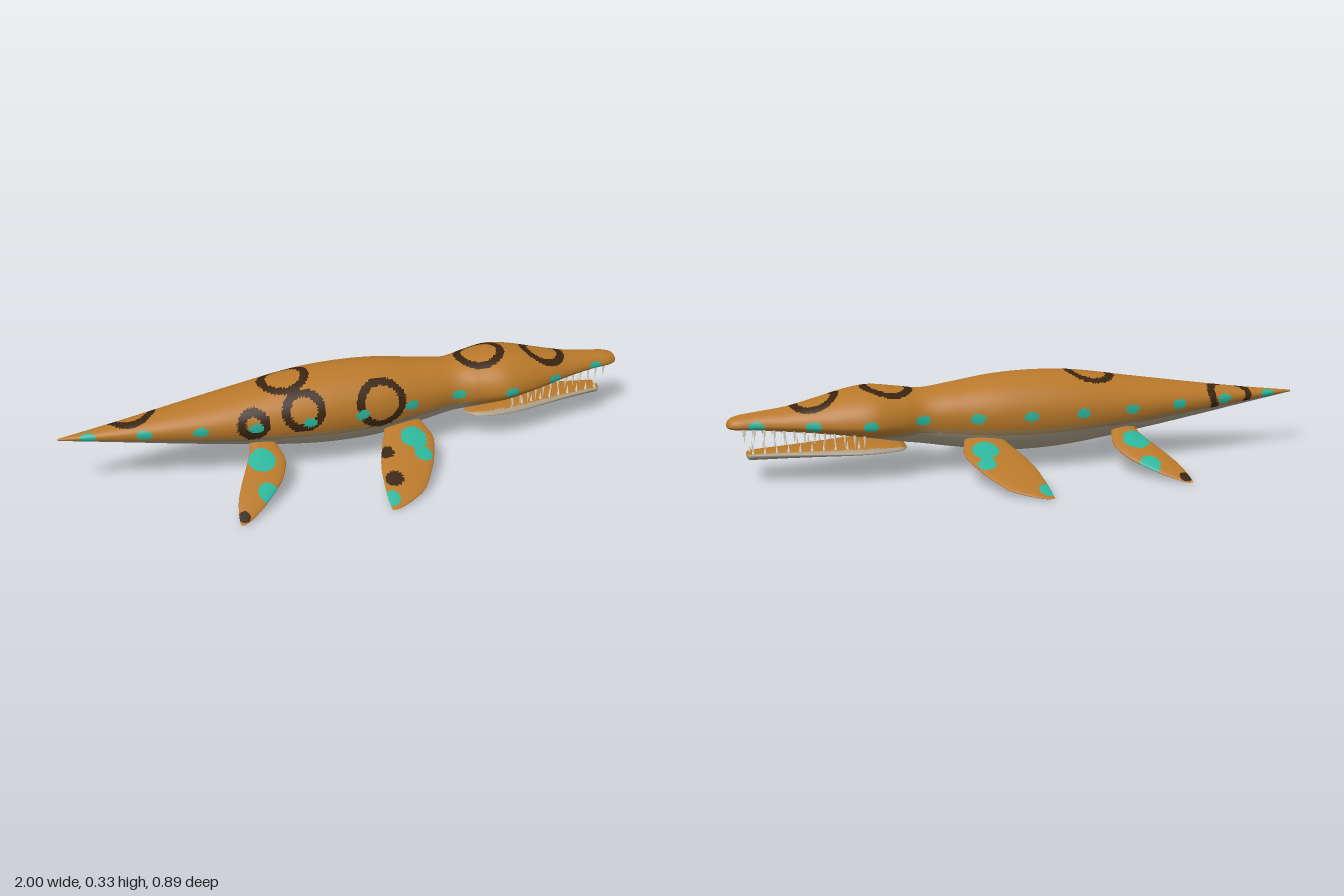
import * as THREE from 'three';
import { ParametricGeometry } from 'three/addons/geometries/ParametricGeometry.js';

const COLORS = {
  hide: 0xb8782a, flank: 0xa08455, belly: 0xa99d88, ring: 0x3a2410,
  teal: 0x2cb59b, tooth: 0xe6dfcc,
};
const materials = {};
for (const [key, color] of Object.entries(COLORS)) {
  materials[key] = new THREE.MeshStandardMaterial({ color });
}

// Smooth interpolation through table rows, t in 0..1
function spline(rows, t) {
  const n = rows.length - 1;
  const i = Math.min(Math.floor(t * n), n - 1);
  const f = t * n - i;
  const [a, b, c, d] = [i - 1, i, i + 1, i + 2].map((k) => rows[Math.max(0, Math.min(n, k))]);
  return b.map((p, k) => p + 0.5 * f * (c[k] - a[k]
    + f * (2 * a[k] - 5 * p + 4 * c[k] - d[k] + f * (3 * (p - c[k]) + d[k] - a[k]))));
}

// Linear lookup of a row by its first column
function rowAt(rows, x) {
  let i = 0;
  while (i < rows.length - 2 && rows[i + 1][0] < x) i++;
  const f = (x - rows[i][0]) / (rows[i + 1][0] - rows[i][0]);
  return rows[i].map((p, k) => p + (rows[i + 1][k] - p) * f);
}

// Loft along x; rows are [x, top, bottom, halfWidth], widest at height mid
function loftX(rows, mid, around, along) {
  return new ParametricGeometry((u, v, out) => {
    const [x, top, bottom, half] = spline(rows, v);
    const s = Math.sin(-2 * Math.PI * u), c = Math.cos(2 * Math.PI * u);
    out.set(x, mid + s * (s > 0 ? top - mid : mid - bottom), half * c);
  }, around, along);
}

// Split a skin into one mesh per colour, chosen at each face's centre
function paint(name, geometry, rule) {
  const group = new THREE.Group();
  group.name = name;
  const pos = geometry.attributes.position, index = geometry.index;
  const faces = {};
  const center = new THREE.Vector3(), p = new THREE.Vector3();
  for (let i = 0; i < index.count; i += 3) {
    const tri = [0, 1, 2].map((k) => index.getX(i + k));
    center.set(0, 0, 0);
    tri.forEach((k) => center.add(p.fromBufferAttribute(pos, k)));
    (faces[rule(center.divideScalar(3))] ??= []).push(...tri);
  }
  for (const [key, list] of Object.entries(faces)) {
    const part = new THREE.BufferGeometry();
    part.setAttribute('position', pos);
    part.setAttribute('normal', geometry.attributes.normal);
    part.setIndex(list);
    const mesh = new THREE.Mesh(part, materials[key]);
    mesh.name = `${name} ${key}`;
    group.add(mesh);
  }
  return group;
}

const BODY = [
  [-1, 0.203, 0.197, 0.003], [-0.8, 0.227, 0.165, 0.045], [-0.6, 0.256, 0.132, 0.086],
  [-0.4, 0.287, 0.1, 0.12], [-0.2, 0.319, 0.07, 0.141], [-0.05, 0.328, 0.058, 0.146],
  [0.1, 0.322, 0.061, 0.14], [0.25, 0.301, 0.083, 0.116], [0.35, 0.289, 0.1, 0.102],
  [0.43, 0.298, 0.114, 0.124], [0.52, 0.308, 0.134, 0.148], [0.6, 0.299, 0.148, 0.138],
  [0.7, 0.274, 0.161, 0.108], [0.8, 0.251, 0.171, 0.073], [0.9, 0.239, 0.18, 0.049],
  [0.96, 0.231, 0.184, 0.042], [0.99, 0.22, 0.189, 0.028], [1, 0.204, 0.197, 0.003],
];
const JAW = [
  [0.41, 0.104, 0.098, 0.06], [0.44, 0.119, 0.094, 0.096], [0.52, 0.125, 0.091, 0.11],
  [0.6, 0.123, 0.087, 0.104], [0.7, 0.118, 0.083, 0.081], [0.8, 0.114, 0.081, 0.059],
  [0.9, 0.11, 0.08, 0.041], [0.93, 0.108, 0.081, 0.034], [0.94, 0.101, 0.098, 0.004],
];

// Fin rows: [z, trailing x, leading x, thickness]
const FRONT_FIN = [
  [0.07, 0.1, 0.215, 0.03], [0.13, 0.08, 0.232, 0.03], [0.185, 0.055, 0.24, 0.03],
  [0.265, 0.025, 0.212, 0.027], [0.34, 0.012, 0.17, 0.022], [0.39, 0.006, 0.13, 0.016],
  [0.43, 0.004, 0.06, 0.008], [0.444, 0.005, 0.018, 0.002],
];
const REAR_FIN = [
  [0.07, -0.38, -0.3, 0.03], [0.12, -0.388, -0.288, 0.03], [0.175, -0.415, -0.28, 0.028],
  [0.24, -0.448, -0.308, 0.026], [0.29, -0.47, -0.352, 0.021], [0.335, -0.482, -0.4, 0.015],
  [0.37, -0.487, -0.445, 0.008], [0.386, -0.487, -0.476, 0.002],
];

// Dark rings: centre x, y, z and radius
const RINGS = [
  [0.07, 0.23, 0.135, 0.075], [-0.2, 0.24, 0.125, 0.06], [-0.37, 0.21, 0.11, 0.042],
  [-0.24, 0.315, 0, 0.075], [0.47, 0.3, 0, 0.076], [0.71, 0.268, 0, 0.07],
  [-0.75, 0.215, -0.05, 0.075],
].map(([x, y, z, r]) => ({ c: new THREE.Vector3(x, y, z), r }));

function bodyColor(p) {
  const dx = p.x - Math.round(p.x / 0.181) * 0.181;
  if (Math.hypot(dx / 0.025, (p.y - 0.2) / 0.017) < 1 && Math.abs(p.z) > 0.01) return 'teal';
  const drop = (p.y - 0.2) / (Math.abs(p.z) + 0.001);
  if (drop < -0.48) return 'belly';
  if (RINGS.some(({ c, r }) => Math.abs(p.distanceTo(c) - r) < 0.014)) return 'ring';
  return drop < -0.3 ? 'flank' : 'hide';
}

// Lens-section fin sloping down and out; side is +1 or -1 along z
function fin(name, rows, slope, side, spots) {
  const geometry = new ParametricGeometry((u, v, out) => {
    const [z, trail, lead, thick] = spline(rows, v);
    const a = 2 * Math.PI * u * side;
    out.set((lead + trail) / 2 + Math.cos(a) * (lead - trail) / 2,
      0.117 - (z - 0.11) * slope + Math.sin(a) * thick / 2, z * side);
  }, 48, 64);
  return paint(name, geometry, (p) => {
    const hit = spots.find(([x, z, r]) => Math.hypot(p.x - x, Math.abs(p.z) - z) < r);
    return hit ? hit[3] : 'hide';
  });
}

function tooth(name, x, y, z, length, up) {
  const mesh = new THREE.Mesh(new THREE.ConeGeometry(0.0055, length, 8), materials.tooth);
  mesh.name = name;
  mesh.position.set(x, y + (up ? 1 : -1) * length / 2, z);
  if (!up) mesh.rotation.x = Math.PI;
  return mesh;
}

export function createModel() {
  const model = new THREE.Group();
  model.name = 'marineReptile';

  // Body with tail and upper head
  model.add(paint('body', loftX(BODY, 0.2, 80, 340), bodyColor));

  // Lower jaw, brown inside and pale outside
  model.add(paint('lowerJaw', loftX(JAW, 0.1, 48, 90),
    (p) => (p.y > 0.1 + 0.55 * (rowAt(JAW, p.x)[1] - 0.1) ? 'hide' : 'belly')));

  // Paired fins and teeth
  const teeth = new THREE.Group();
  teeth.name = 'teeth';
  for (const side of [1, -1]) {
    const label = side > 0 ? 'right' : 'left';
    const frontSpots = [[0.17, 0.18, 0.045, 'teal'], [0.18, 0.25, 0.03, 'teal'], [0.015, 0.4, 0.03, 'teal']];
    if (side > 0) frontSpots.push([0.05, 0.33, 0.03, 'ring'], [0.06, 0.22, 0.025, 'ring']);
    model.add(fin(`${label}FrontFin`, FRONT_FIN, 0.34, side, frontSpots));
    model.add(fin(`${label}RearFin`, REAR_FIN, 0.41, side,
      [[-0.36, 0.17, 0.045, 'teal'], [-0.37, 0.29, 0.035, 'teal'], [-0.47, 0.36, 0.02, 'ring']]));
    for (let i = 0; i < 13; i++) {
      const x = 0.56 + i * 0.032;
      const [, , lip, half] = rowAt(BODY, x);
      teeth.add(tooth('upperTooth', x, 0.207 - 0.66 * (0.2 - lip), side * 0.75 * half, 0.052, false));
    }
    for (let i = 0; i < 10; i++) {
      const x = 0.575 + i * 0.038;
      const [, top, , half] = rowAt(JAW, x);
      teeth.add(tooth('lowerTooth', x, 0.095 + 0.6 * (top - 0.1), side * 0.75 * half, 0.036, true));
    }
  }
  teeth.add(tooth('frontTooth', 0.927, 0.1, 0, 0.03, true));
  model.add(teeth);
  return model;
}
